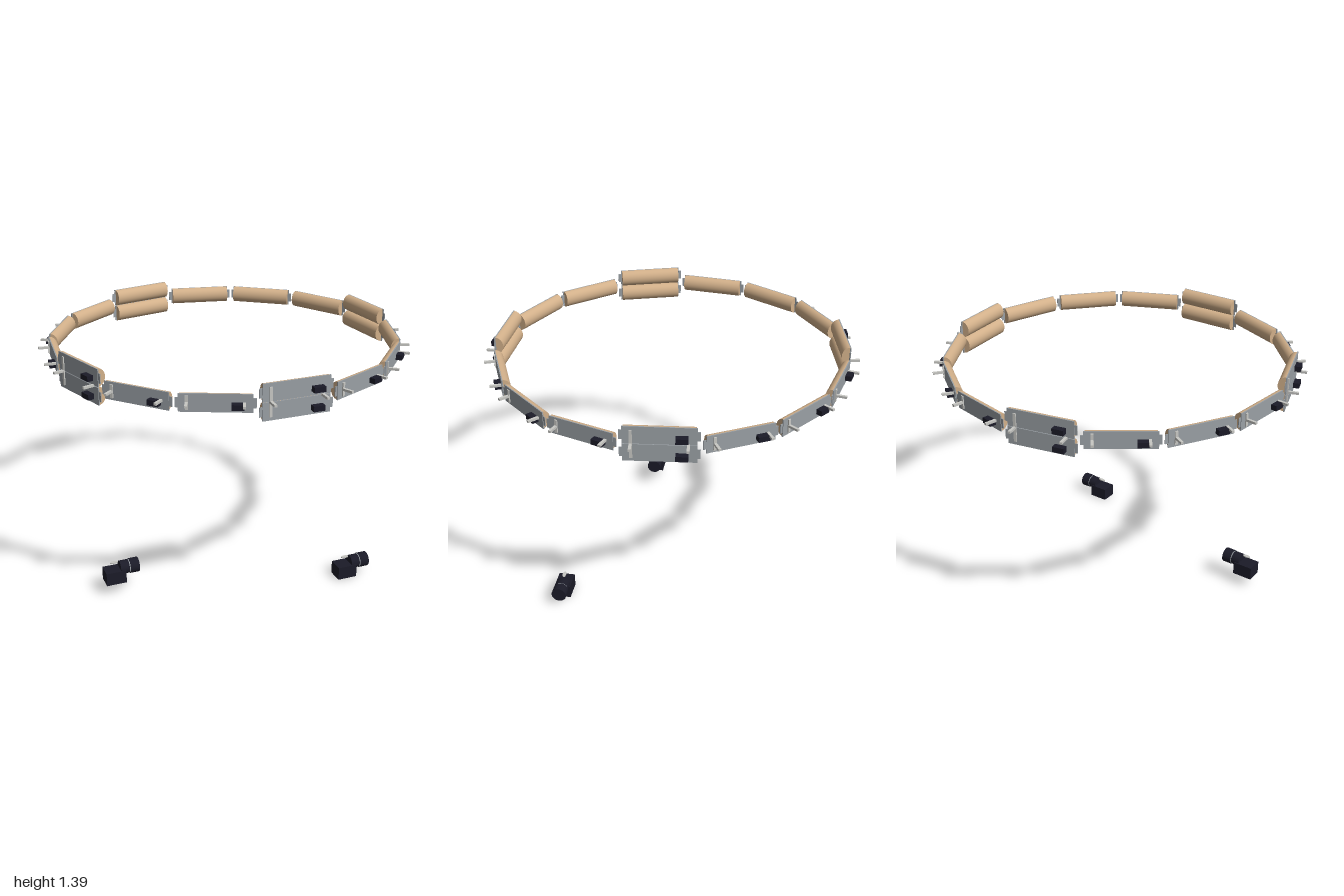
import * as THREE from 'three';

const mat = (name, color) => {
  const m = new THREE.MeshStandardMaterial({ color });
  m.name = name;
  return m;
};

export function createModel() {
  const tan = mat('tan', 0xd2b08a);
  const grey = mat('grey', 0x9aa0a5);
  const pale = mat('pale grey', 0xc8c8c4);
  const black = mat('black', 0x1b1b28);

  const add = (parent, name, geo, m, x = 0, y = 0, z = 0) => {
    const mesh = new THREE.Mesh(geo, m);
    mesh.name = name;
    mesh.position.set(x, y, z);
    parent.add(mesh);
    return mesh;
  };
  const box = (w, h, d) => new THREE.BoxGeometry(w, h, d);

  const model = new THREE.Group();
  model.name = 'ringWithCameras';

  // Shared panel parts: half-round pad facing inward, flat backing plate outward
  const padGeo = new THREE.CylinderGeometry(0.046, 0.046, 0.34, 24, 1, false, Math.PI / 2, Math.PI)
    .rotateZ(Math.PI / 2).scale(1, 1, 0.87);
  const plateGeo = box(0.352, 0.092, 0.006);
  const tabGeo = box(0.016, 0.05, 0.004);
  const motorGeo = box(0.06, 0.028, 0.034);
  const rodGeo = box(0.014, 0.012, 0.062);

  // Ring of fifteen panels, every fourth one doubled
  const count = 15, midY = 1.297;
  for (let k = 0; k < count; k++) {
    const panel = new THREE.Group();
    panel.name = 'panel';
    panel.position.y = midY;
    panel.rotation.y = (k / count) * Math.PI * 2;
    const isDouble = k % 4 === 0;
    for (const y of isDouble ? [-0.0475, 0.0475] : [0]) {
      add(panel, 'pad', padGeo, tan, 0, y, 0.925);
      add(panel, 'backPlate', plateGeo, grey, 0, y, 0.928);
      add(panel, 'connectorBox', motorGeo, black, 0.105, y - 0.01, 0.947);
      for (const s of [-1, 1]) add(panel, 'endTab', tabGeo, grey, s * 0.183, y, 0.926);
    }
    // Mounting strip and outward pins
    add(panel, 'mountStrip', box(0.015, isDouble ? 0.15 : 0.07, 0.006), pale, -0.135, 0, 0.934);
    for (const s of [-1, 1]) add(panel, 'mountPin', rodGeo, pale, s * 0.135, 0, 0.96);
    model.add(panel);
  }

  // Camera: square body, stepped lens barrel along +x, pale ring and top plate
  const barrel = (r, len) => new THREE.CylinderGeometry(r, r, len, 28).rotateZ(-Math.PI / 2);
  const addCamera = (x, y, z) => {
    const cam = new THREE.Group();
    cam.name = 'camera';
    cam.position.set(x, y, z);
    add(cam, 'body', box(0.112, 0.074, 0.088), black, 0.056, 0.037, 0);
    add(cam, 'lensBarrel', barrel(0.038, 0.05), black, 0.11, 0.076, 0);
    add(cam, 'lensRing', barrel(0.039, 0.005), grey, 0.137, 0.076, 0);
    add(cam, 'lensHood', barrel(0.041, 0.052), black, 0.165, 0.076, 0);
    const top = new THREE.CylinderGeometry(0.022, 0.022, 0.006, 20).scale(1, 1, 0.45);
    add(cam, 'topPlate', top, pale, 0.056, 0.114, 0);
    model.add(cam);
  };
  addCamera(-0.79, 0.066, 0.22);
  addCamera(0.468, 0, 0.528);

  return model;
}
